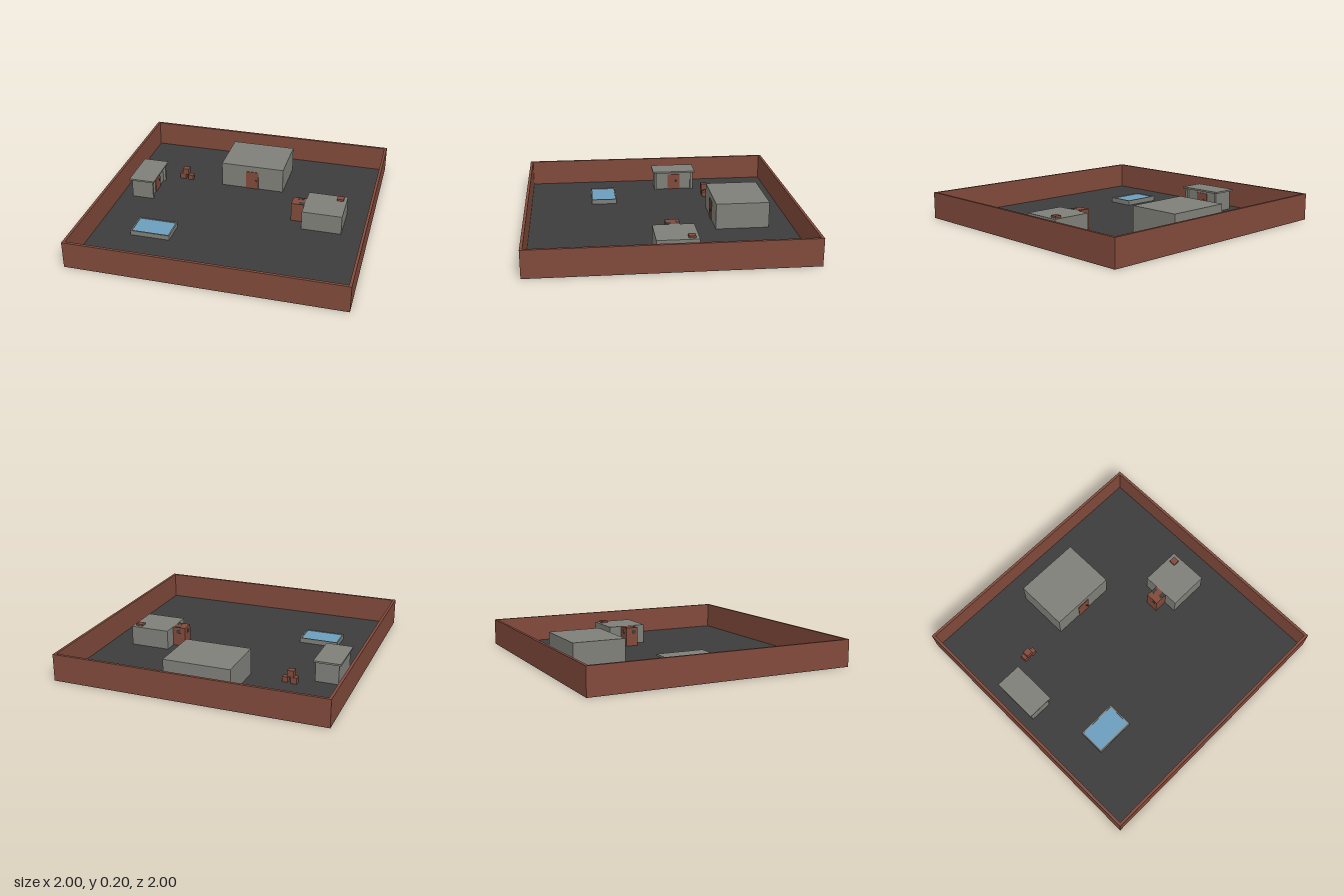
import * as THREE from 'three';

const mat = (name, color) => {
  const m = new THREE.MeshStandardMaterial({ color });
  m.name = name;
  return m;
};

export function createModel() {
  const brick = mat('brick red', 0x814a3b);
  const concrete = mat('concrete grey', 0x80807a);
  const asphalt = mat('asphalt', 0x3c3c3c);
  const water = mat('water blue', 0x6c9fbe);

  const model = new THREE.Group();
  model.name = 'walledYard';

  const group = (name) => {
    const g = new THREE.Group();
    g.name = name;
    model.add(g);
    return g;
  };
  // Box given by its x, y and z ranges
  const box = (parent, name, material, [x0, x1], [y0, y1], [z0, z1]) => {
    const mesh = new THREE.Mesh(new THREE.BoxGeometry(x1 - x0, y1 - y0, z1 - z0), material);
    mesh.position.set((x0 + x1) / 2, (y0 + y1) / 2, (z0 + z1) / 2);
    mesh.name = name;
    parent.add(mesh);
    return mesh;
  };
  const knob = (parent, x, y, z, r = 0.008) => {
    const mesh = new THREE.Mesh(new THREE.SphereGeometry(r, 12, 8), asphalt);
    mesh.position.set(x, y, z);
    mesh.name = 'doorKnob';
    parent.add(mesh);
  };

  // Ground and perimeter walls
  const F = 0.003;
  box(model, 'ground', asphalt, [-1, 1], [0, F], [-1, 1]);
  const walls = group('perimeterWalls');
  const T = 0.02;
  for (const s of [-1, 1]) {
    const span = s < 0 ? [-1, -1 + T] : [1 - T, 1];
    box(walls, s < 0 ? 'backWall' : 'frontWall', brick, [-1, 1], [F, 0.2], span);
    box(walls, s < 0 ? 'rightWall' : 'leftWall', brick, span, [F, 0.2], [-1 + T, 1 - T]);
  }

  // Main hall with a front door
  const hall = group('mainHall');
  box(hall, 'hallBody', concrete, [-0.25, 0.25], [F, 0.198], [-0.8, -0.4]);
  box(hall, 'hallDoor', brick, [-0.05, 0.05], [F, 0.15], [-0.4, -0.395]);
  knob(hall, 0.03, 0.075, -0.393);

  // Side house with a porch and a low chimney
  const house = group('sideHouse');
  box(house, 'houseBody', concrete, [0.5, 0.8], [F, 0.15], [-0.2, 0.1]);
  box(house, 'chimney', brick, [0.725, 0.775], [0.15, 0.165], [-0.175, -0.125]);
  box(house, 'porch', brick, [0.4, 0.5], [F, 0.15], [-0.1, 0]);
  box(house, 'porchTopPatchBack', asphalt, [0.44, 0.485], [0.15, 0.151], [-0.1, -0.075]);
  box(house, 'porchTopPatchFront', asphalt, [0.455, 0.5], [0.15, 0.151], [-0.035, 0]);
  box(house, 'porchBackWindow', asphalt, [0.44, 0.47], [0.1, 0.13], [-0.102, -0.1]);
  box(house, 'porchSideWindow', asphalt, [0.398, 0.4], [0.1, 0.13], [-0.05, -0.02]);

  // Shed with an overhanging roof, corner posts and a side door
  const shed = group('shed');
  box(shed, 'shedRoof', concrete, [-0.9, -0.7], [0.15, 0.163], [-0.375, -0.025]);
  box(shed, 'shedBody', concrete, [-0.885, -0.735], [F, 0.15], [-0.36, -0.04]);
  for (const z of [-0.36, -0.06]) {
    box(shed, 'shedPost', concrete, [-0.735, -0.715], [F, 0.15], [z, z + 0.02]);
  }
  box(shed, 'shedDoor', brick, [-0.735, -0.728], [F, 0.13], [-0.25, -0.15]);
  knob(shed, -0.726, 0.075, -0.22);

  // Pool with a raised rim
  const pool = group('pool');
  box(pool, 'poolWater', water, [-0.69, -0.41], [F, 0.034], [0.31, 0.49]);
  for (const z of [0.3, 0.49]) box(pool, 'poolRimLong', concrete, [-0.7, -0.4], [F, 0.04], [z, z + 0.01]);
  for (const x of [-0.7, -0.41]) box(pool, 'poolRimShort', concrete, [x, x + 0.01], [F, 0.04], [0.31, 0.49]);

  // Stack of three crates
  const crates = group('crates');
  const stack = [[-0.588, F, -0.436, 0.046], [-0.522, F, -0.43, 0.04], [-0.562, 0.049, -0.431, 0.048]];
  for (const [x, y, z, s] of stack) {
    box(crates, 'crate', brick, [x - s / 2, x + s / 2], [y, y + s], [z - s / 2, z + s / 2]);
  }
  return model;
}
